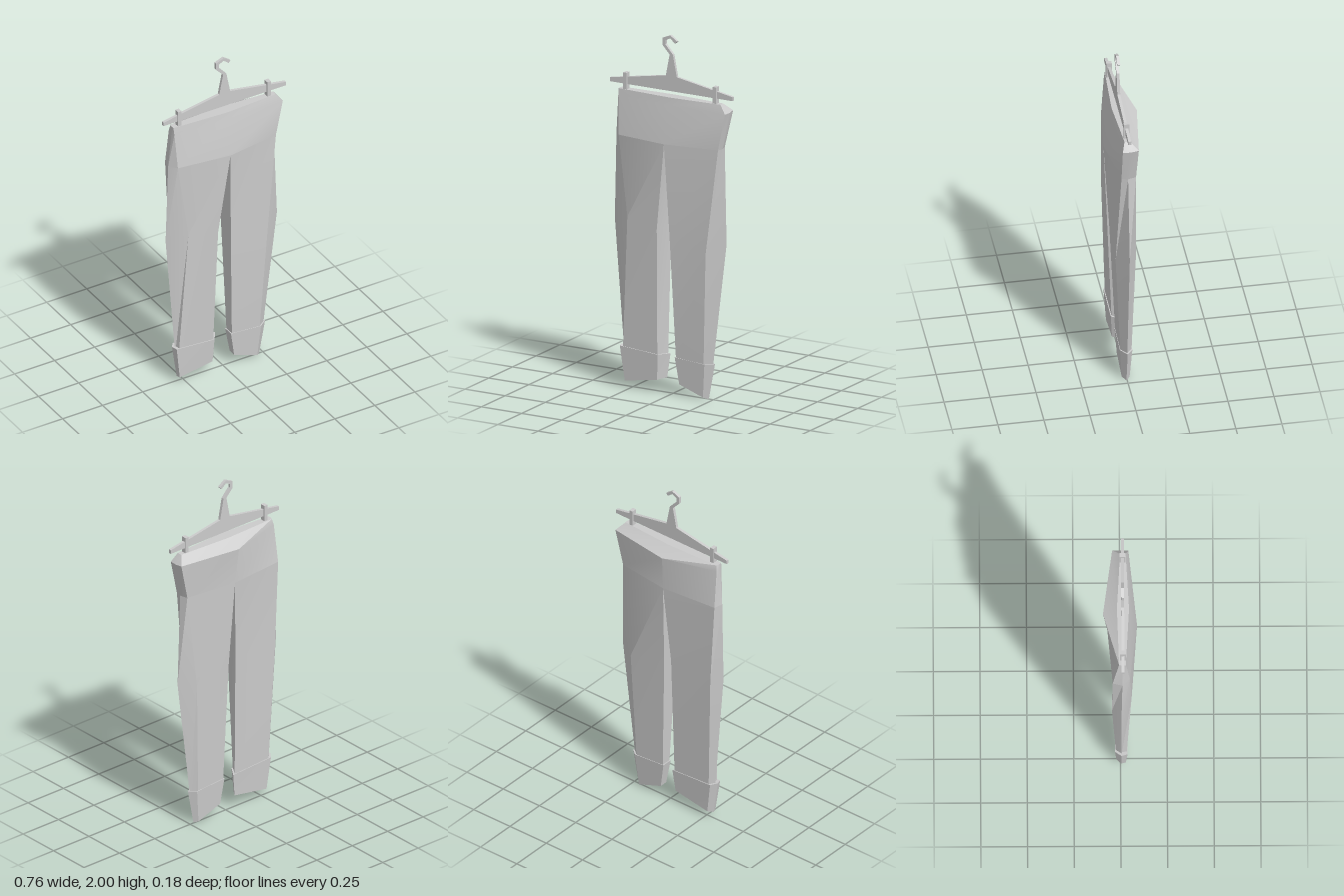
import * as THREE from 'three';
import { toCreasedNormals } from 'three/addons/utils/BufferGeometryUtils.js';

const material = new THREE.MeshStandardMaterial({ color: 0xcccccc });

function addMesh(parent, name, geometry) {
  const mesh = new THREE.Mesh(geometry, material);
  mesh.name = name;
  parent.add(mesh);
  return mesh;
}

// Skin a stack of rings, bottom to top, each counterclockwise seen from above
function loft(rings, capBottom, capTop) {
  const n = rings[0].length;
  const index = [];
  const last = (rings.length - 1) * n;
  for (let r = 0; r < rings.length - 1; r++) {
    for (let j = 0; j < n; j++) {
      const a = r * n + j, b = r * n + (j + 1) % n;
      index.push(a, b, b + n, a, b + n, a + n);
    }
  }
  for (let j = 1; j < n - 1; j++) {
    if (capBottom) index.push(0, j + 1, j);
    if (capTop) index.push(last, last + j, last + j + 1);
  }
  const geometry = new THREE.BufferGeometry();
  geometry.setAttribute('position', new THREE.Float32BufferAttribute(rings.flat(2), 3));
  geometry.setIndex(index);
  return toCreasedNormals(geometry, 0.42);
}

// Flat plate cut from an outline
function plate(points, depth, z) {
  const shape = new THREE.Shape(points.map(([x, y]) => new THREE.Vector2(x, y)));
  return new THREE.ExtrudeGeometry(shape, { depth, bevelEnabled: false }).translate(0, 0, z);
}

export function createModel() {
  const model = new THREE.Group();
  const trousers = new THREE.Group();
  trousers.name = 'trousers';
  const hanger = new THREE.Group();
  hanger.name = 'hanger';
  model.add(trousers, hanger);

  // Hips and waist: front edge, left side, back edge, right side
  const hip = [
    [-0.31, 1.41, 0.05], [-0.005, 1.41, 0.09], [0.305, 1.41, 0.045], [0.312, 1.41, 0.01],
    [0.3, 1.41, -0.035], [-0.005, 1.41, -0.072], [-0.335, 1.41, -0.042], [-0.347, 1.41, 0.01],
  ];
  const rim = [
    [-0.322, 1.62, 0.034], [0, 1.62, 0.054], [0.348, 1.615, 0.045], [0.35, 1.615, 0],
    [0.348, 1.62, -0.042], [-0.015, 1.62, -0.093], [-0.328, 1.63, -0.014], [-0.328, 1.62, 0.012],
  ];
  const top = [
    [-0.325, 1.662, 0.028], [0, 1.662, 0.047], [0.312, 1.662, 0.03], [0.314, 1.662, 0.015],
    [0.312, 1.662, 0], [0, 1.662, -0.018], [-0.32, 1.662, -0.008], [-0.326, 1.662, 0.01],
  ];
  addMesh(trousers, 'waist', loft([hip, rim, top], false, true));

  // Right leg: front outer, front inner, back inner, back outer, side
  addMesh(trousers, 'rightLeg', loft([
    [[-0.295, 0.18, 0.032], [-0.08, 0.18, 0.032], [-0.045, 0.18, -0.022], [-0.28, 0.18, -0.024], [-0.3, 0.18, 0.005]],
    [[-0.25, 0.965, 0.06], [-0.066, 0.92, 0.062], [-0.035, 0.93, -0.04], [-0.31, 0.92, -0.046], [-0.36, 0.93, 0.005]],
    [hip[0], hip[1], hip[5], hip[6], hip[7]],
  ], true, false));

  // Left leg: front inner, front outer, side, back outer, back inner
  addMesh(trousers, 'leftLeg', loft([
    [[0.038, 0.17, 0.032], [0.208, 0.17, 0.034], [0.248, 0.17, 0.004], [0.215, 0.17, -0.024], [0.038, 0.17, -0.022]],
    [[0.013, 0.9, 0.062], [0.24, 0.825, 0.066], [0.335, 0.88, 0.005], [0.24, 0.85, -0.045], [0.013, 0.9, -0.04]],
    [hip[1], hip[2], hip[3], hip[4], hip[5]],
  ], true, false));

  // Turned-up cuffs
  addMesh(trousers, 'rightCuff', loft([
    [[-0.285, 0.038, 0.028], [-0.083, 0.072, 0.03], [-0.048, 0.08, -0.018], [-0.27, 0.045, -0.022], [-0.291, 0.036, 0.004]],
    [[-0.31, 0.232, 0.038], [-0.074, 0.215, 0.038], [-0.032, 0.213, -0.026], [-0.295, 0.23, -0.03], [-0.32, 0.234, 0.005]],
  ], true, true));
  addMesh(trousers, 'leftCuff', loft([
    [[0.054, 0.066, 0.028], [0.2, 0.013, 0.026], [0.224, 0.002, 0.004], [0.205, 0.01, -0.016], [0.054, 0.066, -0.018]],
    [[0.03, 0.215, 0.036], [0.216, 0.202, 0.038], [0.262, 0.203, 0.004], [0.225, 0.203, -0.028], [0.03, 0.215, -0.026]],
  ], true, true));

  // Hanger bar with neck
  const half = [[0.382, 1.69], [0.382, 1.712], [0.034, 1.773], [0.01, 1.895]];
  const mirrored = half.map(([x, y]) => [-x, y]).reverse();
  addMesh(hanger, 'hangerBar', plate([...half, ...mirrored], 0.016, 0.005));

  // Angular hook
  addMesh(hanger, 'hook', plate([
    [0.01, 1.895], [-0.037, 1.947], [-0.037, 1.968], [-0.007, 1.983], [0.024, 1.958],
    [0.036, 1.971], [-0.006, 2.0], [-0.054, 1.98], [-0.054, 1.94], [-0.01, 1.893],
  ], 0.016, 0.005));

  // Clips gripping the waist
  for (const [name, x] of [['rightClip', -0.284], ['leftClip', 0.273]]) {
    addMesh(hanger, name, new THREE.BoxGeometry(0.022, 0.098, 0.03)).position.set(x, 1.705, 0.013);
  }
  return model;
}
